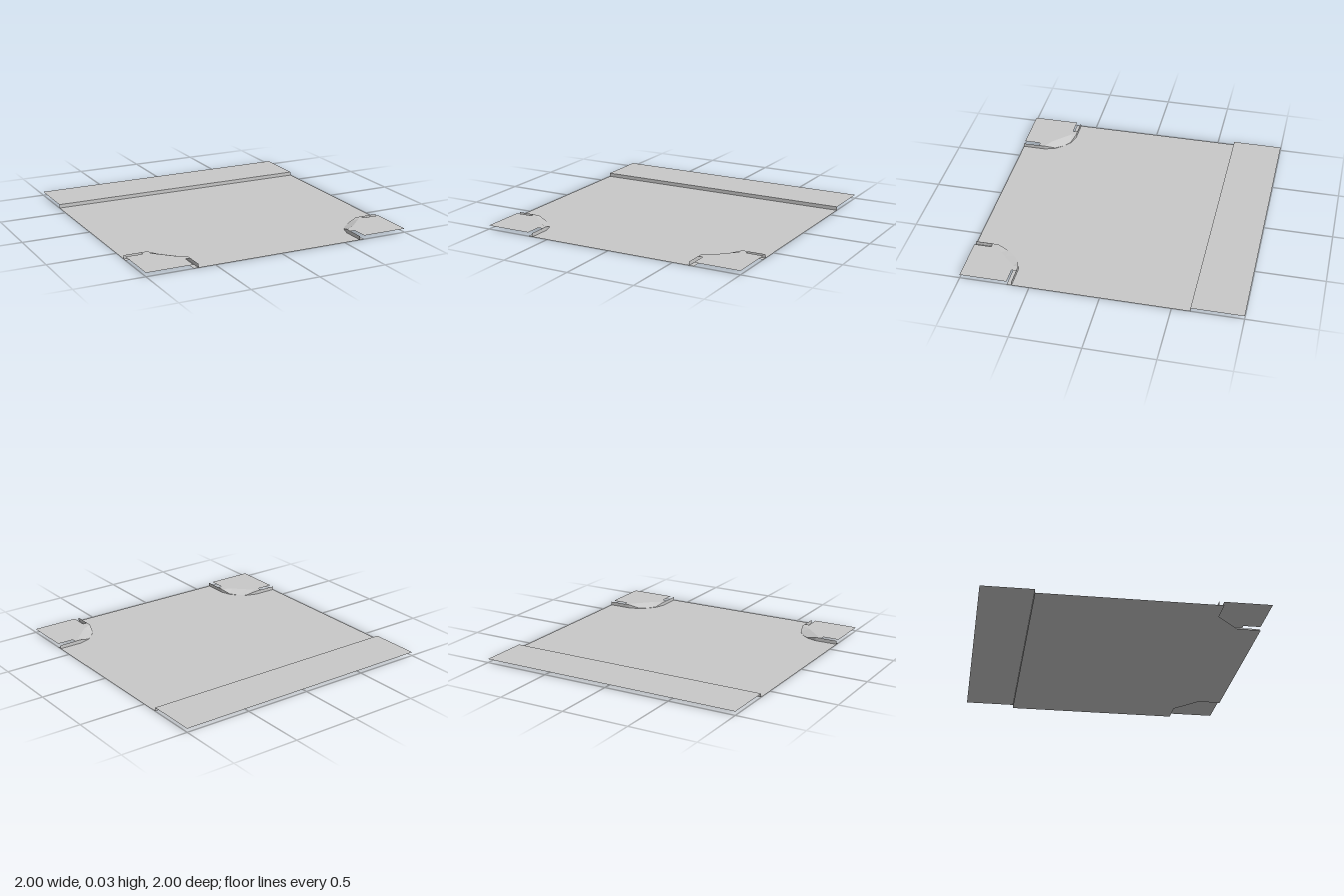
import * as THREE from 'three';

const H = 0.027;      // kerb height
const BACK = -0.63;   // back kerb line
const KERB = 0.625;   // outer kerb line of the front corners
const PAVE = 0.66;    // paving edge behind the kerb

const concrete = new THREE.MeshStandardMaterial({ color: 0xc8c8c8, side: THREE.DoubleSide });
concrete.name = 'concrete grey';

function mesh(name, geometry) {
  const m = new THREE.Mesh(geometry, concrete);
  m.name = name;
  return m;
}

// flat horizontal sheet from an outline of [x, z] points
function sheet(name, points, y) {
  const shape = new THREE.Shape(points.map(([x, z]) => new THREE.Vector2(x, -z)));
  return mesh(name, new THREE.ShapeGeometry(shape).rotateX(-Math.PI / 2).translate(0, y, 0));
}

// ribbon of quads between two rows of [x, y, z] points
function ribbon(name, a, b) {
  const pos = [];
  for (let i = 0; i < a.length - 1; i++) {
    pos.push(...a[i], ...a[i + 1], ...b[i], ...a[i + 1], ...b[i + 1], ...b[i]);
  }
  const g = new THREE.BufferGeometry();
  g.setAttribute('position', new THREE.Float32BufferAttribute(pos, 3));
  g.computeVertexNormals();
  return mesh(name, g);
}

// one front pavement corner with its dropped kerb
function corner(name, side) {
  const group = new THREE.Group();
  group.name = name;
  group.add(sheet('cornerPaving', [
    [1, 1], [PAVE, 1], [PAVE, 0.875], [KERB, 0.875], [KERB, 0.83], [PAVE, 0.83],
    [0.83, PAVE], [0.83, KERB], [0.875, KERB], [0.875, PAVE], [1, PAVE],
  ], H));

  // kerb top dips to road level around the bend
  const bend = [
    [0.83, H, KERB], [0.75, 0.004, 0.65], [0.695, 0.001, 0.695], [0.65, 0.004, 0.75], [KERB, H, 0.83],
  ];
  const inner = bend.map((_, i) => {
    const t = i / (bend.length - 1);
    return [0.83 + (PAVE - 0.83) * t, H, PAVE + (0.83 - PAVE) * t];
  });
  group.add(ribbon('kerbRamp', bend, inner));

  const top = [[1, H, KERB], ...bend, [KERB, H, 1]];
  group.add(ribbon('kerbFace', top.map(([x, , z]) => [x, 0, z]), top));
  group.scale.x = side;
  return group;
}

export function createModel() {
  const model = new THREE.Group();
  model.name = 'roadTile';

  // road surface, notched behind both corner kerbs
  const notch = [[1, PAVE], [0.83, PAVE], [PAVE, 0.83], [PAVE, 1]];
  const mirrored = notch.map(([x, z]) => [-x, z]).reverse();
  model.add(sheet('road', [[-1, BACK], [1, BACK], ...notch, ...mirrored], 0));

  // raised back pavement and its kerb
  model.add(sheet('backPaving', [[-1, -1], [1, -1], [1, BACK], [-1, BACK]], H));
  model.add(ribbon('backKerb', [[-1, 0, BACK], [1, 0, BACK]], [[-1, H, BACK], [1, H, BACK]]));

  model.add(corner('leftCorner', 1), corner('rightCorner', -1));
  return model;
}
